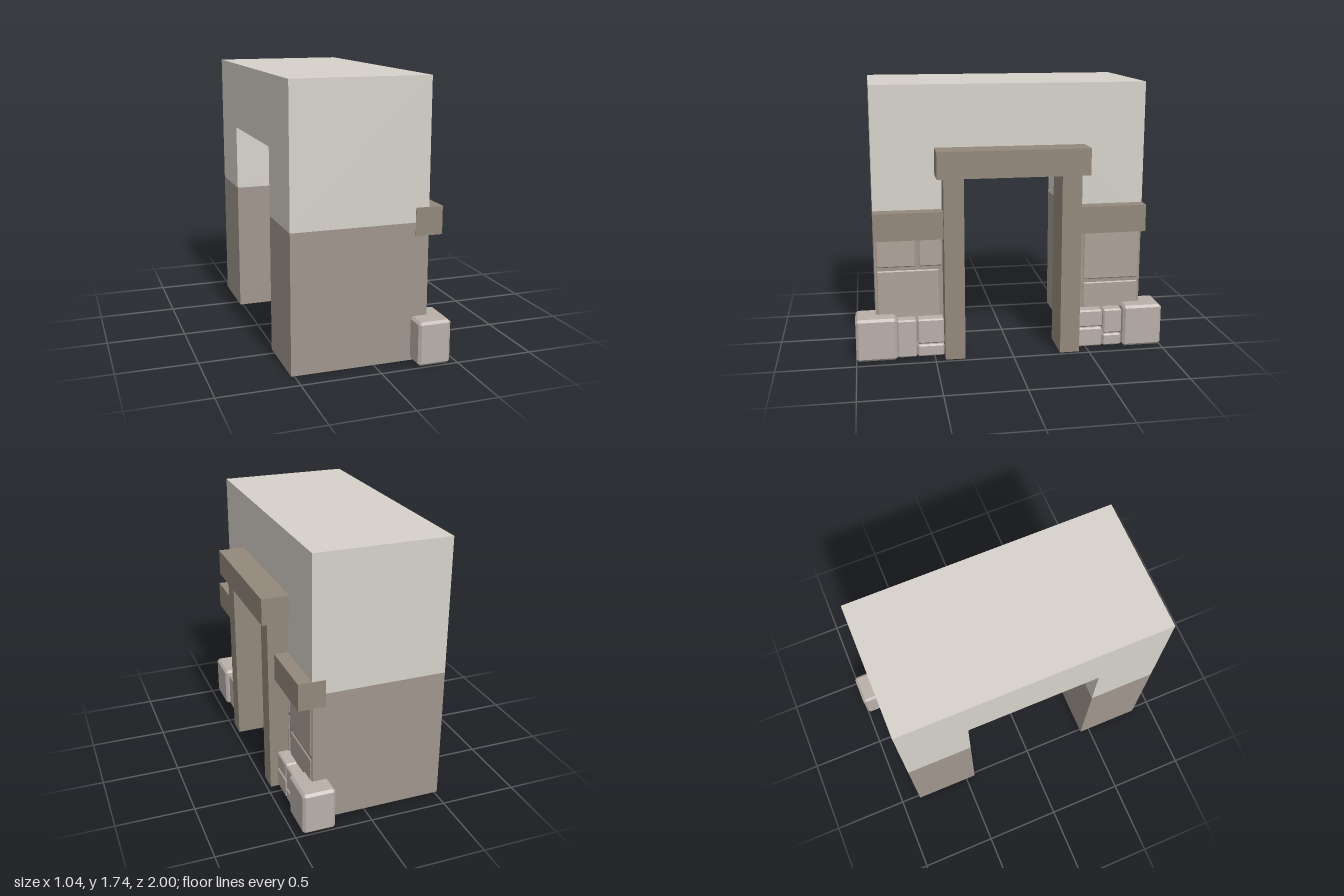
import * as THREE from 'three';
import { ConvexGeometry } from 'three/addons/geometries/ConvexGeometry.js';

const mat = (color) => new THREE.MeshStandardMaterial({ color, flatShading: true });

export function createModel() {
  const group = new THREE.Group();
  const plaster = mat(0xd6d1ca);
  const base = mat(0xa0968d);
  const wood = mat(0x93887b);
  const stone = mat(0xb9afa9);
  const panel = mat(0xaea298);

  const add = (name, geometry, material) => {
    const mesh = new THREE.Mesh(geometry, material);
    mesh.name = name;
    group.add(mesh);
    return mesh;
  };

  // Plain box given by its limits on each axis
  const box = (name, material, [x0, x1], [y0, y1], [z0, z1]) => {
    const g = new THREE.BoxGeometry(x1 - x0, y1 - y0, z1 - z0);
    g.translate((x0 + x1) / 2, (y0 + y1) / 2, (z0 + z1) / 2);
    add(name, g, material);
  };

  // Box with chamfered edges: every corner becomes three points
  const block = (name, material, xs, ys, zs, bevel) => {
    const points = [];
    for (const i of [0, 1]) for (const j of [0, 1]) for (const k of [0, 1]) {
      const corner = [xs[i], ys[j], zs[k]];
      const inward = [i, j, k].map((s) => (s ? -bevel : bevel));
      for (let keep = 0; keep < 3; keep++) {
        points.push(new THREE.Vector3(...corner.map((c, a) => (a === keep ? c : c + inward[a]))));
      }
    }
    add(name, new ConvexGeometry(points), material);
  };

  // Upper wall: bridges the passage
  const outline = new THREE.Shape([
    [-0.87, 0.87], [-0.435, 0.87], [-0.435, 1.3], [0.435, 1.3],
    [0.435, 0.87], [0.87, 0.87], [0.87, 1.74], [-0.87, 1.74],
  ].map(([z, y]) => new THREE.Vector2(z, y)));
  const upper = new THREE.ExtrudeGeometry(outline, { depth: 0.865, bevelEnabled: false });
  upper.rotateY(Math.PI / 2).translate(-0.52, 0, 0);
  add('upperWall', upper, plaster);

  // Lower walls, door posts and side beams, mirrored across the passage
  for (const s of [1, -1]) {
    const span = (a, b) => (s > 0 ? [a, b] : [-b, -a]);
    box('lowerWall', base, [-0.52, 0.345], [0, 0.87], span(0.435, 0.87));
    box('doorPost', wood, [0.22, 0.475], [0, 1.18], span(0.31, 0.437));
    box('sideBeam', wood, [0.26, 0.433], [0.785, 0.96], span(0.43, 0.872));
    block('cornerStone', stone, [0.24, 0.45], [0.005, 0.283], span(0.74, 1), 0.016);
  }
  box('lintel', wood, [0.22, 0.52], [1.18, 1.35], [-0.48, 0.48]);

  // Small foundation stones: y range, z range
  for (const [ys, zs] of [
    [[0.01, 0.26], [0.615, 0.74]],
    [[0.095, 0.26], [0.44, 0.61]],
    [[0.01, 0.088], [0.44, 0.61]],
    [[0.145, 0.26], [-0.605, -0.435]],
    [[0.01, 0.138], [-0.605, -0.435]],
    [[0.095, 0.26], [-0.735, -0.61]],
    [[0.01, 0.088], [-0.735, -0.61]],
  ]) block('footStone', stone, [0.26, 0.425], ys, zs, 0.009);

  // Shallow masonry blocks in the wall face beside the posts
  for (const [ys, zs] of [
    [[0.02, 0.58], [0.45, 0.868]],
    [[0.58, 0.8], [0.6, 0.868]],
    [[0.58, 0.8], [0.43, 0.6]],
    [[0.02, 0.44], [-0.868, -0.475]],
    [[0.44, 0.8], [-0.868, -0.475]],
    [[0.02, 0.53], [-0.475, -0.43]],
    [[0.53, 0.8], [-0.475, -0.43]],
  ]) block('wallStone', panel, [0.28, 0.352], ys, zs, 0.018);

  return group;
}
